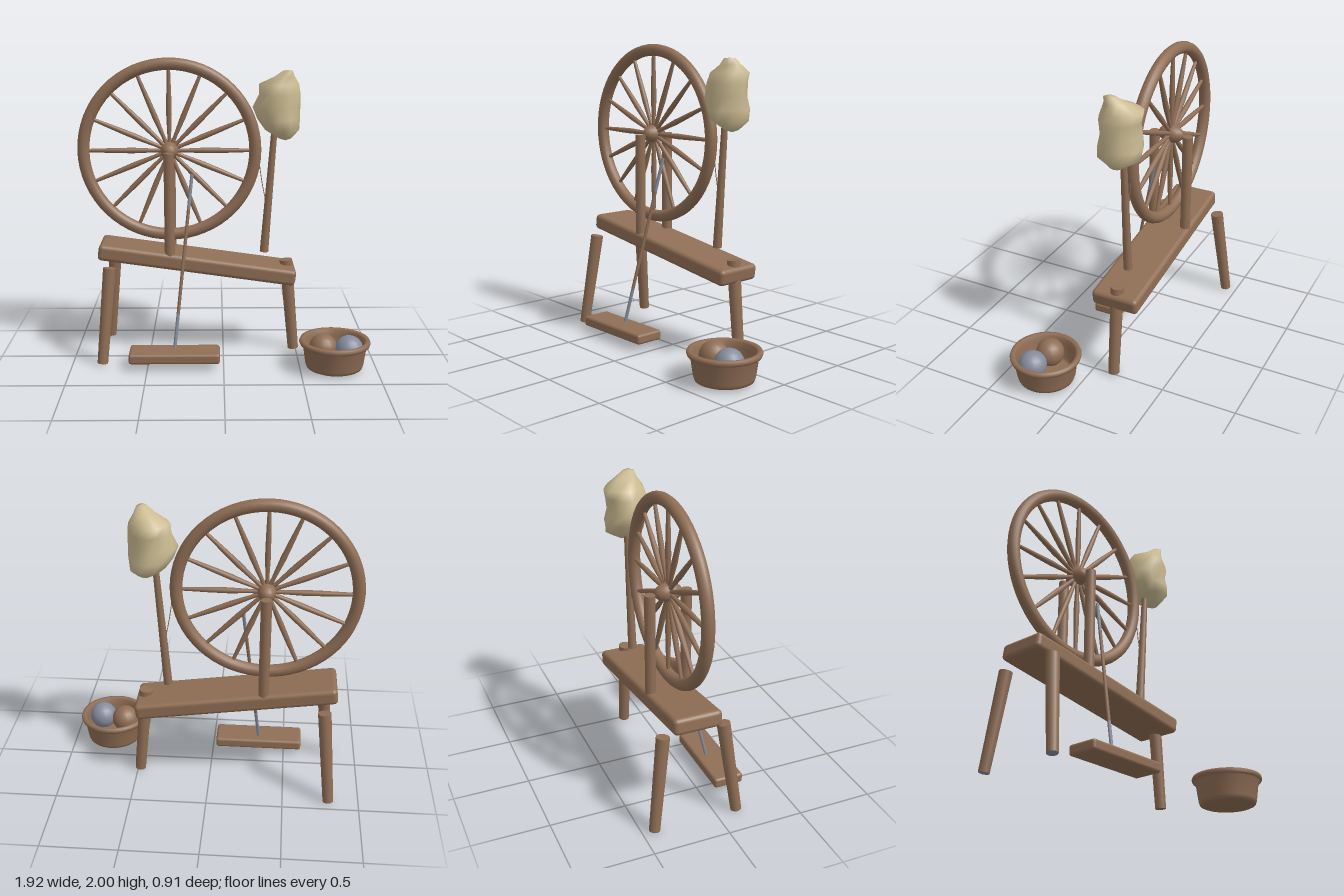
import * as THREE from 'three';
import { RoundedBoxGeometry } from 'three/addons/geometries/RoundedBoxGeometry.js';

const mat = (name, color) => {
  const m = new THREE.MeshStandardMaterial({ color });
  m.name = name;
  return m;
};
const V = (x, y, z) => new THREE.Vector3(x, y, z);
const MID = -0.14; // z of the wheel plane

export function createModel() {
  const wood = mat('wood', 0x8f6e55);
  const wool = mat('wool', 0xcbbb92);
  const grey = mat('blueGrey', 0x858c9c);
  const model = new THREE.Group();

  const add = (name, geo, material, parent = model) => {
    const mesh = new THREE.Mesh(geo, material);
    mesh.name = name;
    parent.add(mesh);
    return mesh;
  };
  // Tapered round bar from point a (bottom) to point b (top)
  const bar = (name, a, b, rBottom, rTop, material = wood, sides = 16) => {
    const dir = b.clone().sub(a);
    const mesh = add(name, new THREE.CylinderGeometry(rTop, rBottom, dir.length(), sides), material);
    mesh.position.copy(a).add(b).multiplyScalar(0.5);
    mesh.quaternion.setFromUnitVectors(V(0, 1, 0), dir.normalize());
    return mesh;
  };

  // Wheel: rim, hub and sixteen spindle-shaped spokes
  const wheel = new THREE.Group();
  wheel.name = 'wheel';
  wheel.position.set(-0.355, 1.392, MID);
  model.add(wheel);
  add('rim', new THREE.TorusGeometry(0.568, 0.04, 14, 64), wood, wheel);
  add('hub', new THREE.SphereGeometry(1, 16, 12), wood, wheel).scale.set(0.06, 0.06, 0.09);
  const spokeProfile = [[0.015, 0.03], [0.013, 0.1], [0.019, 0.24], [0.017, 0.36], [0.011, 0.55]]
    .map(([r, y]) => new THREE.Vector2(r, y));
  const spokeGeo = new THREE.LatheGeometry(spokeProfile, 10);
  for (let i = 0; i < 16; i++) {
    add('spoke', spokeGeo, wood, wheel).rotation.z = (i * Math.PI) / 8;
  }

  // Sloping bench
  const bench = add('bench', new RoundedBoxGeometry(1.325, 0.107, 0.318, 3, 0.028), wood);
  bench.position.set(-0.173, 0.641, MID);
  bench.rotation.z = -0.14;

  // Wheel posts and the two splayed legs, mirrored about the wheel plane
  for (const s of [1, -1]) {
    bar('wheelPost', V(-0.355, 0.66, MID + s * 0.12), V(-0.355, 1.392, MID + s * 0.12), 0.034, 0.034);
    bar('leftOrRightLeg', V(-0.802, 0.01, MID + s * 0.28), V(-0.749, 0.643, MID + s * 0.2),
      0.035, 0.043, [wood, wood, grey]);
  }
  bar('endLeg', V(0.484, 0.01, MID), V(0.426, 0.643, MID), 0.036, 0.043);

  // Treadle and its connecting rod with grey ends
  add('treadle', new RoundedBoxGeometry(0.595, 0.068, 0.2, 3, 0.018), wood).position.set(-0.322, 0.085, 0.18);
  const rodLow = V(-0.322, 0.12, 0.15), rodHigh = V(-0.206, 1.24, -0.095);
  const stops = [0, 0.2, 0.8, 1];
  for (let i = 0; i < 3; i++) {
    bar('treadleRod', rodLow.clone().lerp(rodHigh, stops[i]), rodLow.clone().lerp(rodHigh, stops[i + 1]),
      0.011, 0.011, i === 1 ? wood : grey, 8);
  }

  // Distaff pole and thread
  bar('distaffPole', V(0.277, 0.7, MID), V(0.354, 1.75, MID), 0.029, 0.018);
  const threadCurve = new THREE.QuadraticBezierCurve3(V(0.235, 1.36, MID), V(0.25, 1.2, MID), V(0.285, 1.05, MID));
  add('thread', new THREE.TubeGeometry(threadCurve, 10, 0.003, 6), wood);

  // Wool bundle: lofted sections as [y, xMin, xMax, zMin, zMax]
  const sections = [
    [1.46, 0.41, 0.41, -0.13, -0.13],
    [1.475, 0.36, 0.45, -0.18, -0.08],
    [1.53, 0.275, 0.5, -0.27, 0.0],
    [1.6, 0.225, 0.505, -0.28, 0.0],
    [1.68, 0.192, 0.505, -0.262, -0.01],
    [1.765, 0.235, 0.505, -0.272, 0.007],
    [1.83, 0.235, 0.495, -0.285, -0.015],
    [1.88, 0.335, 0.465, -0.195, -0.045],
    [1.918, 0.385, 0.45, -0.135, -0.055],
    [1.922, 0.42, 0.42, -0.095, -0.095],
  ];
  const N = 12, pos = [], idx = [];
  sections.forEach(([y, x0, x1, z0, z1], i) => {
    for (let j = 0; j < N; j++) {
      const a = (j / N) * Math.PI * 2;
      const k = j % 3 === 0 ? 1 : 0.95 + 0.07 * Math.sin(j * 2.3 + i * 1.1); // lumps
      pos.push((x0 + x1) / 2 + (Math.cos(a) * k * (x1 - x0)) / 2, y,
        (z0 + z1) / 2 + (Math.sin(a) * k * (z1 - z0)) / 2);
      if (i < sections.length - 1) {
        const p = i * N + j, q = i * N + ((j + 1) % N);
        idx.push(p, p + N, q, q, p + N, q + N);
      }
    }
  });
  const woolGeo = new THREE.BufferGeometry();
  woolGeo.setAttribute('position', new THREE.Float32BufferAttribute(pos, 3));
  woolGeo.setIndex(idx);
  woolGeo.computeVertexNormals();
  add('woolBundle', woolGeo, wool);

  // Basket with rolled rim, holding two yarn balls
  const basketProfile = [
    [0, 0.014], [0.165, 0.014], [0.182, 0.022], [0.19, 0.045], [0.208, 0.17],
    [0.226, 0.174], [0.232, 0.19], [0.226, 0.206], [0.205, 0.208], [0.193, 0.195],
    [0.188, 0.16], [0.172, 0.06], [0.155, 0.045], [0, 0.045],
  ].map(([r, y]) => new THREE.Vector2(r, y));
  add('basket', new THREE.LatheGeometry(basketProfile, 36), wood).position.set(0.725, 0, 0.228);
  const ballGeo = new THREE.SphereGeometry(0.093, 16, 12);
  add('brownYarnBall', ballGeo, wood).position.set(0.648, 0.153, 0.243);
  add('greyYarnBall', ballGeo, grey).position.set(0.812, 0.153, 0.275);

  return model;
}
